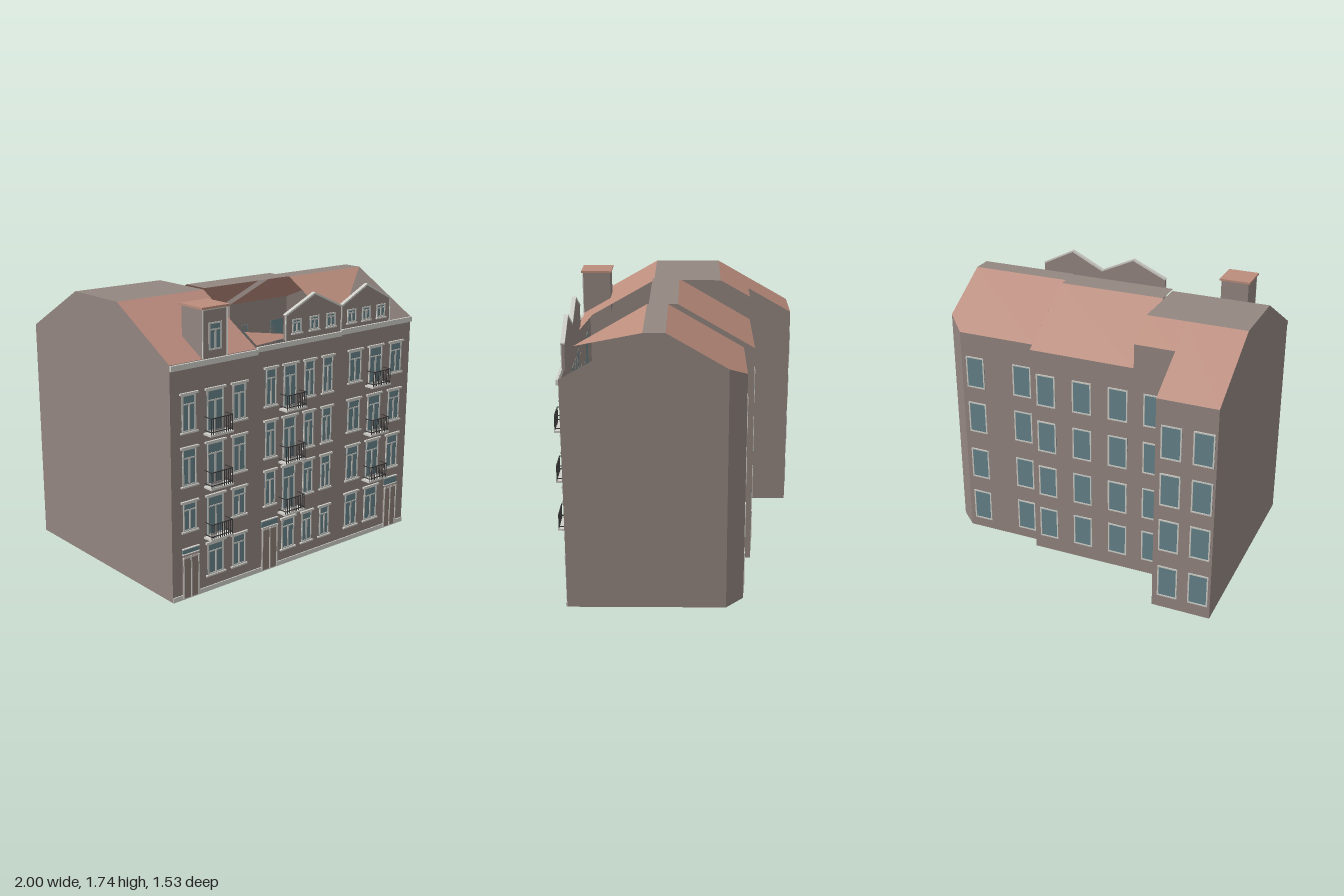
import * as THREE from 'three';
import { mergeGeometries } from 'three/addons/utils/BufferGeometryUtils.js';

export function createModel() {
  const material = (name, color, side = THREE.FrontSide) => {
    const m = new THREE.MeshStandardMaterial({ color, side });
    m.name = name;
    return m;
  };
  const wall = material('plaster', 0x938680, THREE.DoubleSide);
  const tile = material('roofTile', 0xbb8d7d, THREE.DoubleSide);
  const trim = material('paleTrim', 0xcfcec8);
  const glass = material('glass', 0x66838b);
  const iron = material('iron', 0x3b3a3a);
  const doorPaint = material('doorPaint', 0x8d7d76);

  // geometries are collected by part name and merged at the end
  const parts = new Map();
  const add = (name, mat, geo) => {
    if (!parts.has(name)) parts.set(name, { mat, list: [] });
    parts.get(name).list.push(geo);
  };
  const box = (name, mat, x0, x1, y0, y1, z0, z1) => add(name, mat,
    new THREE.BoxGeometry(x1 - x0, y1 - y0, z1 - z0)
      .translate((x0 + x1) / 2, (y0 + y1) / 2, (z0 + z1) / 2).toNonIndexed());
  // flat convex polygon
  const poly = (name, mat, pts) => {
    const pos = [], uv = [];
    for (let i = 1; i < pts.length - 1; i++) {
      pos.push(...pts[0], ...pts[i], ...pts[i + 1]);
      uv.push(0, 0, 0, 0, 0, 0);
    }
    const g = new THREE.BufferGeometry();
    g.setAttribute('position', new THREE.Float32BufferAttribute(pos, 3));
    g.setAttribute('uv', new THREE.Float32BufferAttribute(uv, 2));
    g.computeVertexNormals();
    add(name, mat, g);
  };
  // upright wall in a plane of constant x, from [z, y] points
  const side = (name, x, zy) => poly(name, wall, zy.map(([z, y]) => [x, y, z]));
  const F = 0.69;

  // outer walls: plan run, with the wall height at both ends
  const run = [
    [-1, F, 1.44, -0.36, F, 1.44], [-0.36, F, 1.46, 1, F, 1.46],
    [1, -0.28, 1.524, 0.88, -0.39, 1.46], [0.88, -0.39, 1.46, 0.34, -0.39, 1.46],
    [0.34, -0.39, 1.496, 0.34, -0.46, 1.455], [0.34, -0.46, 1.455, -0.36, -0.46, 1.455],
    [-0.36, -0.46, 1.611, -0.62, -0.46, 1.611], [-0.62, -0.46, 1.611, -0.62, -0.76, 1.44],
    [-0.62, -0.76, 1.44, -1, -0.76, 1.44],
  ];
  for (const [xa, za, ha, xb, zb, hb] of run)
    poly('outerWalls', wall, [[xa, 0, za], [xb, 0, zb], [xb, hb, zb], [xa, ha, za]]);
  side('endWalls', -1, [[-0.76, 0], [F, 0], [F, 1.44], [0.19, 1.725], [-0.26, 1.725], [-0.76, 1.44]]);
  side('endWalls', 1, [[F, 0], [-0.28, 0], [-0.28, 1.524], [0.08, 1.735], [0.21, 1.735], [F, 1.46]]);
  side('stepWalls', -0.36, [[0.02, 1.725], [-0.46, 1.455], [-0.46, 1.611], [-0.26, 1.725]]);
  side('stepWalls', 0.34, [[0.08, 1.735], [-0.39, 1.46], [-0.39, 1.496], [0.02, 1.735]]);
  // ground slab
  const base = (pts) => poly('baseSlab', wall, pts.map(([x, z]) => [x, 0, z]));
  base([[-1, -0.76], [-0.62, -0.76], [-0.62, F], [-1, F]]);
  base([[-0.62, -0.46], [0.34, -0.46], [0.34, F], [-0.62, F]]);
  base([[0.34, -0.39], [0.88, -0.39], [1, -0.28], [1, F], [0.34, F]]);

  // roof tops and slopes
  const flat = (xa, xb, y, za, zb) =>
    poly('roofTops', wall, [[xa, y, za], [xb, y, za], [xb, y, zb], [xa, y, zb]]);
  flat(-1, -0.36, 1.725, 0.19, -0.26);
  flat(-0.36, 0.34, 1.735, 0.2, 0.02);
  flat(0.34, 1, 1.735, 0.21, 0.08);
  const slope = (pts) => poly('roofSlopes', tile, pts);
  slope([[-1, 1.44, F], [-0.36, 1.44, F], [-0.36, 1.725, 0.19], [-1, 1.725, 0.19]]);
  slope([[-0.36, 1.725, -0.26], [-0.36, 1.611, -0.46], [-0.62, 1.611, -0.46], [-0.62, 1.725, -0.26]]);
  slope([[-0.62, 1.725, -0.26], [-0.62, 1.44, -0.76], [-1, 1.44, -0.76], [-1, 1.725, -0.26]]);
  slope([[0.34, 1.735, 0.02], [0.34, 1.455, -0.46], [-0.36, 1.455, -0.46], [-0.36, 1.735, 0.02]]);
  slope([[1, 1.735, 0.08], [1, 1.524, -0.28], [0.88, 1.46, -0.39], [0.34, 1.46, -0.39], [0.34, 1.735, 0.08]]);
  // partial front slopes beside the open attic
  slope([[-0.36, 1.46, F], [0, 1.472, 0.67], [-0.36, 1.523, 0.58]]);
  slope([[0.34, 1.465, 0.675], [1, 1.735, 0.21], [0.34, 1.735, 0.21]]);

  // cornices and plinth
  box('cornice', trim, -1, -0.36, 1.405, 1.437, F, 0.705);
  box('cornice', trim, -0.36, 0.34, 1.42, 1.45, F, 0.705);
  box('cornice', trim, 0.34, 1, 1.427, 1.46, F, 0.705);
  box('plinth', trim, -1, 1, 0, 0.03, F, 0.697);

  // bordered window; dir is +1 on the front, -1 on the back
  const windowUnit = (x, w, y0, y1, z, dir, cross) => {
    const bar = (a, b, c, d, t) =>
      box('windowFrames', trim, a, b, c, d, Math.min(z, z + dir * t), Math.max(z, z + dir * t));
    const x0 = x - w / 2, x1 = x + w / 2, f = 0.009;
    box('windowGlass', glass, x0, x1, y0, y1, Math.min(z, z + dir * 0.003), Math.max(z, z + dir * 0.003));
    bar(x0, x0 + f, y0, y1, 0.007);
    bar(x1 - f, x1, y0, y1, 0.007);
    bar(x0 + f, x1 - f, y0, y0 + f, 0.007);
    bar(x0 + f, x1 - f, y1 - f, y1, 0.007);
    if (!cross) return;
    const yt = y1 - (y1 - y0) * 0.26;
    bar(x0 + f, x1 - f, yt - 0.004, yt + 0.004, 0.006);
    bar(x - 0.006, x + 0.006, y0 + f, yt - 0.004, 0.006);
  };
  const ledge = (x, w, y0, y1) => box('lintelsAndSills', trim, x - w / 2, x + w / 2, y0, y1, F, 0.704);

  // balcony: slab on the wall with an iron railing
  const balcony = (x, y, top) => {
    const a = x - 0.08, b = x + 0.08, z = 0.757;
    box('balconySlabs', trim, a - 0.006, b + 0.006, y - 0.012, y, F, 0.76);
    const low = y + 0.012;
    for (const h of [low, top - 0.005]) {
      box('balconyRails', iron, a, b, h, h + 0.005, z - 0.005, z);
      for (const e of [a, b - 0.004]) box('balconyRails', iron, e, e + 0.004, h, h + 0.005, F, z);
    }
    for (let i = 0; i <= 10; i++) {
      const p = a + (b - a - 0.004) * i / 10;
      box('balconyRails', iron, p, p + 0.004, y, top, z - 0.004, z);
    }
  };

  // the three street fronts: columns, floors [bottom, top], balconies [floor, rail top]
  const fronts = [
    { cols: [-0.87, -0.677, -0.495], w: 0.1, wide: 0.125, b: 1, door: -0.868, dw: 0.12, dy: 0.27, ty: [0.29, 0.318],
      rows: [[1.035, 1.255], [0.71, 0.935], [0.43, 0.605], [0.105, 0.305]],
      bal: [[1.003, 1.102], [0.677, 0.775], [0.357, 0.45]], ground: [1, 2] },
    { cols: [-0.245, -0.088, 0.075, 0.233], w: 0.085, wide: 0.105, b: 1, door: -0.247, dw: 0.13, dy: 0.285, ty: [0.295, 0.335],
      rows: [[1.075, 1.305], [0.745, 0.975], [0.435, 0.655], [0.105, 0.305]],
      bal: [[1.04, 1.133], [0.7, 0.805], [0.367, 0.465]], ground: [1, 2, 3] },
    { cols: [0.48, 0.67, 0.863], w: 0.11, wide: 0.12, b: 1, door: 0.863, dw: 0.12, dy: 0.295, ty: [0.312, 0.36],
      rows: [[1.1, 1.305], [0.77, 0.98], [0.435, 0.665], [0.105, 0.335]],
      bal: [[1.057, 1.155], [0.73, 0.83], [0.407, 0.503]], ground: [0, 1] },
  ];
  for (const s of fronts) {
    s.rows.forEach(([y0, y1], r) => s.cols.forEach((x, c) => {
      if (r === 3 && !s.ground.includes(c)) return;
      const open = r < 3 && c === s.b;
      const w = c === s.b ? s.wide : s.w;
      const bottom = open ? s.bal[r][0] : y0;
      windowUnit(x, w, bottom, y1, F, 1, true);
      ledge(x, w + 0.03, y1, y1 + 0.012);
      if (open) balcony(x, bottom, s.bal[r][1]);
      else ledge(x, w + 0.025, y0 - 0.01, y0);
    }));
    // entrance door with a light above
    const a = s.door - s.dw / 2, b = s.door + s.dw / 2;
    box('doors', doorPaint, a, b, 0.008, s.dy, F, 0.699);
    for (const x of [a, s.door - 0.004, b - 0.008])
      box('doorFrames', trim, x, x + 0.008, 0.008, s.dy, 0.699, 0.703);
    box('doorFrames', trim, a, b, s.dy - 0.008, s.dy, 0.703, 0.705);
    box('doorLights', glass, a, b, s.ty[0], s.ty[1], F, 0.696);
    ledge(s.door, s.dw + 0.004, s.ty[1], s.ty[1] + 0.006);
    ledge(s.door, s.dw + 0.004, s.ty[0] - 0.006, s.ty[0]);
  }

  // courtyard windows
  const backs = [
    [[0.78, 0.44], -0.39, [0.07, 0.4, 0.75, 1.08]],
    [[0.235, -0.013, -0.258, -0.493], -0.46, [0.1, 0.42, 0.75, 1.08]],
    [[-0.72, -0.92], -0.76, [0.085, 0.42, 0.74, 1.06]],
  ];
  for (const [xs, z, ys] of backs)
    for (const x of xs) for (const y of ys) windowUnit(x, 0.13, y, y + 0.22, z, -1, false);

  // twin gable parapet with pale coping
  const crest = [[-0.13, 1.61], [0.107, 1.718], [0.343, 1.61], [0.568, 1.722], [0.79, 1.61]];
  const outline = new THREE.Shape([[-0.13, 1.45], [0.79, 1.45], ...[...crest].reverse()]
    .map(([x, y]) => new THREE.Vector2(x, y)));
  add('gableParapet', wall, new THREE.ExtrudeGeometry(outline, { depth: 0.017, bevelEnabled: false })
    .translate(0, 0, 0.673));
  for (let i = 0; i < 4; i++) {
    const [[xa, ya], [xb, yb]] = [crest[i], crest[i + 1]];
    add('gableCoping', trim, new THREE.BoxGeometry(Math.hypot(xb - xa, yb - ya) + 0.006, 0.011, 0.026)
      .rotateZ(Math.atan2(yb - ya, xb - xa)).translate((xa + xb) / 2, (ya + yb) / 2, 0.683).toNonIndexed());
  }
  for (const x of [-0.13, 0.343, 0.79])
    box('gableCoping', trim, x - 0.004, x + 0.004, 1.455, 1.61, F, 0.695);
  for (const x of [-0.04, 0.107, 0.25, 0.433, 0.567, 0.702]) {
    windowUnit(x, 0.078, 1.495, 1.58, F, 1, true);
    ledge(x, 0.09, 1.486, 1.495);
  }

  // dormer
  box('dormer', wall, -0.77, -0.585, 1.44, 1.725, 0.505, 0.692);
  box('dormerCap', tile, -0.78, -0.575, 1.725, 1.738, 0.495, 0.705);
  for (const x of [-0.77, -0.591]) box('dormerTrim', trim, x, x + 0.006, 1.44, 1.718, 0.692, 0.698);
  box('dormerTrim', trim, -0.77, -0.585, 1.718, 1.725, 0.692, 0.698);
  windowUnit(-0.677, 0.095, 1.485, 1.645, 0.692, 1, true);

  const model = new THREE.Group();
  model.name = 'townHouses';
  for (const [name, { mat, list }] of parts) {
    const mesh = new THREE.Mesh(mergeGeometries(list), mat);
    mesh.name = name;
    model.add(mesh);
  }
  return model;
}
